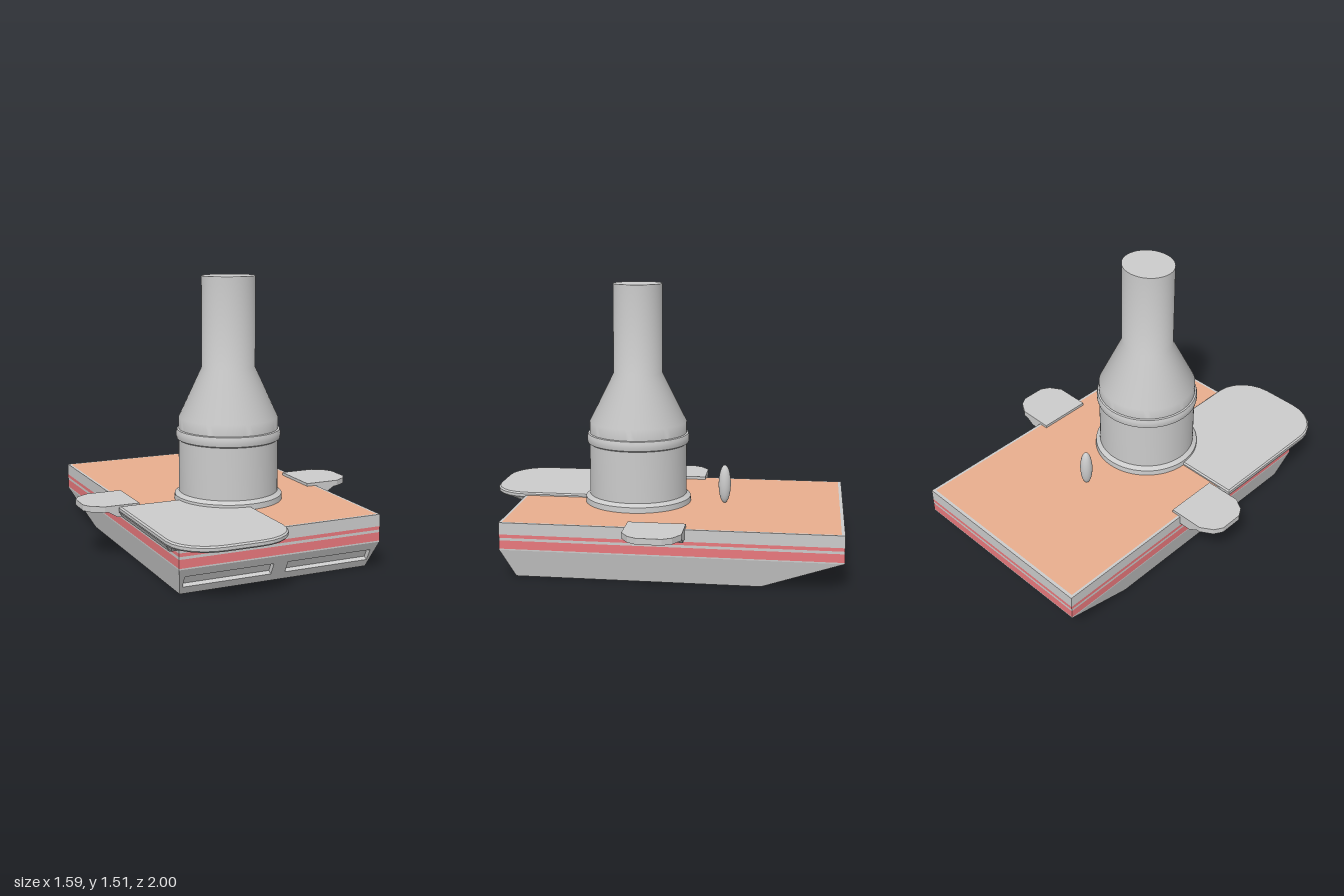
import * as THREE from 'three';
import { mergeGeometries, toCreasedNormals } from 'three/addons/utils/BufferGeometryUtils.js';

const V = (x, y, z) => new THREE.Vector3(x, y, z);
const grey = new THREE.MeshStandardMaterial({ color: 0xcccccc });
const red = new THREE.MeshStandardMaterial({ color: 0xe8787c });
const orange = new THREE.MeshStandardMaterial({ color: 0xe8ae8e });

function add(parent, name, geometry, material = grey) {
  const mesh = new THREE.Mesh(geometry, material);
  mesh.name = name;
  parent.add(mesh);
  return mesh;
}

// Flat quads, corners counter-clockwise seen from outside
function quads(list) {
  const pts = list.flatMap(([a, b, c, d]) => [a, b, c, a, c, d]);
  const g = new THREE.BufferGeometry().setFromPoints(pts);
  g.computeVertexNormals();
  return g;
}

// Horizontal slab from an (x, z) outline, hanging down from y = top
function slab(outline, top, thickness, bevel = 0) {
  const g = new THREE.ExtrudeGeometry(new THREE.Shape(outline), {
    depth: thickness - 2 * bevel, bevelEnabled: bevel > 0, bevelSegments: 1,
    bevelSize: bevel, bevelThickness: bevel, bevelOffset: -bevel,
  });
  return g.rotateX(Math.PI / 2).translate(0, top - bevel, 0);
}

// Underside bracket: the slab outline cut back, further at its lower edge
function underside(outline, axis, cutTop, cutBottom, centre, shrink) {
  const g = slab(outline, 0.285, 0.035);
  const p = g.attributes.position;
  const other = axis === 'X' ? 'Z' : 'X';
  for (let i = 0; i < p.count; i++) {
    const low = p.getY(i) < 0.27;
    p['set' + axis](i, Math.min(p['get' + axis](i), low ? cutBottom : cutTop));
    if (low) p['set' + other](i, centre + (p['get' + other](i) - centre) * shrink);
  }
  g.computeVertexNormals();
  return g;
}

const HALF = 0.565, FRONT = 0.79, BACK = -1, KNEE = 0.15, TOP = 0.298;
const ring = (y, hx = HALF, zf = FRONT, zb = BACK) =>
  [V(-hx, y, zf), V(hx, y, zf), V(hx, y, zb), V(-hx, y, zb)];
const side = (lo, hi, i) => [lo[i], lo[(i + 1) % 4], hi[(i + 1) % 4], hi[i]];

// Sloping end of the hull with two recessed panels; dir is 1 for front, -1 for back
function hullEnd(dir, zLow, zHigh) {
  const at = (x, t) => V(dir * x, t * KNEE, zLow + (zHigh - zLow) * t);
  const inward = at(1, 0).sub(at(0, 0)).cross(at(0, 1).sub(at(0, 0))).normalize().multiplyScalar(-0.025);
  const face = new THREE.Shape([[-0.53, 0], [0.53, 0], [HALF, 1], [-HALF, 1]].map(p => new THREE.Vector2(...p)));
  const recess = [];
  for (const [x0, x1] of [[-0.525, -0.04], [0.04, 0.525]]) {
    const c = [[x0, 0.28], [x1, 0.28], [x1, 0.7], [x0, 0.7]];
    face.holes.push(new THREE.Path(c.map(p => new THREE.Vector2(...p))));
    const outer = c.map(p => at(...p));
    const inner = outer.map(p => p.clone().add(inward));
    recess.push(inner);
    for (let k = 0; k < 4; k++) recess.push(side(outer, inner, k));
  }
  const flat = new THREE.ShapeGeometry(face).toNonIndexed();
  const p = flat.attributes.position;
  for (let i = 0; i < p.count; i++) {
    const q = at(p.getX(i), p.getY(i));
    p.setXYZ(i, q.x, q.y, q.z);
  }
  flat.deleteAttribute('uv');
  flat.computeVertexNormals();
  return mergeGeometries([flat, quads(recess)]);
}

function makeHull() {
  const hull = new THREE.Group();
  hull.name = 'hull';
  // Upright sides, as grey and red bands
  const levels = [KNEE, 0.157, 0.202, 0.216, 0.234, TOP];
  for (let b = 0; b < 5; b++) {
    const lo = ring(levels[b]), hi = ring(levels[b + 1]);
    const g = quads([0, 1, 2, 3].map(i => side(lo, hi, i)));
    add(hull, b % 2 ? 'stripe' : 'sideBand', g, b % 2 ? red : grey);
  }
  // Tapered lower hull
  const bottom = ring(0, 0.53, 0.71, -0.58), knee = ring(KNEE);
  add(hull, 'lowerHull', quads([side(bottom, knee, 1), side(bottom, knee, 3), [...bottom].reverse()]));
  add(hull, 'frontSlope', hullEnd(1, 0.71, FRONT));
  add(hull, 'backSlope', hullEnd(-1, -0.58, BACK));
  // Deck with a narrow rim
  const edge = ring(TOP), deck = ring(TOP, HALF - 0.015, FRONT - 0.015, BACK + 0.018);
  add(hull, 'deckRim', quads([0, 1, 2, 3].map(i => side(edge, deck, i))));
  add(hull, 'deck', quads([deck]), orange);
  return hull;
}

// Round tower narrowing to a slightly oval chimney
function makeTower() {
  const profile = [
    [0.295, 0.295], [0.293, 0.328], [0.273, 0.342], [0.27, 0.345], [0.27, 0.628],
    [0.281, 0.635], [0.284, 0.65], [0.284, 0.67], [0.279, 0.685], [0.27, 0.688],
    [0.27, 0.75], [0.147, 1.02], [0.147, 1.51], [0, 1.51],
  ].map(p => new THREE.Vector2(...p));
  const g = new THREE.LatheGeometry(profile, 64);
  const p = g.attributes.position;
  for (let i = 0; i < p.count; i++) if (p.getY(i) > 1) p.setZ(i, p.getZ(i) * 0.92);
  return toCreasedNormals(g, 0.6).translate(0, 0, 0.138);
}

export function createModel() {
  const model = new THREE.Group();
  model.add(makeHull());
  add(model, 'tower', makeTower());

  // Large front platform with rounded outer corners
  const outline = [[-0.635, 0.135], [0, 0.135]].map(p => new THREE.Vector2(...p));
  for (const [cx, from] of [[-0.22, 0], [-0.415, Math.PI / 2]]) {
    for (let i = 0; i <= 6; i++) {
      const a = from + (i / 6) * Math.PI / 2;
      outline.push(new THREE.Vector2(cx + 0.22 * Math.cos(a), 0.795 + 0.205 * Math.sin(a)));
    }
  }
  const platform = new THREE.Group();
  platform.name = 'frontPlatform';
  add(platform, 'platformTop', slab(outline, 0.314, 0.032, 0.008));
  add(platform, 'platformUnderside', underside(outline, 'Z', 0.89, 0.79, -0.3175, 0.93));
  model.add(platform);

  // Small platform on each side
  const half = [[0.51, -0.152], [0.705, -0.152], [0.77, -0.112], [0.797, -0.065]];
  const mirrored = half.map(([x, z]) => [x, -z]).reverse();
  const padOutline = [...half, ...mirrored].map(p => new THREE.Vector2(...p));
  for (const [name, turn] of [['leftPlatform', 0], ['rightPlatform', Math.PI]]) {
    const pad = new THREE.Group();
    pad.name = name;
    add(pad, 'platformTop', slab(padOutline, 0.314, 0.032));
    add(pad, 'platformUnderside', underside(padOutline, 'X', 0.69, 0.635, 0, 1));
    pad.position.z = -0.037;
    pad.rotation.y = turn;
    model.add(pad);
  }

  // Upright oval post behind the tower
  const post = add(model, 'ovalPost', new THREE.SphereGeometry(1, 24, 16));
  post.scale.set(0.034, 0.108, 0.034);
  post.position.set(0, 0.404, -0.347);
  return model;
}
